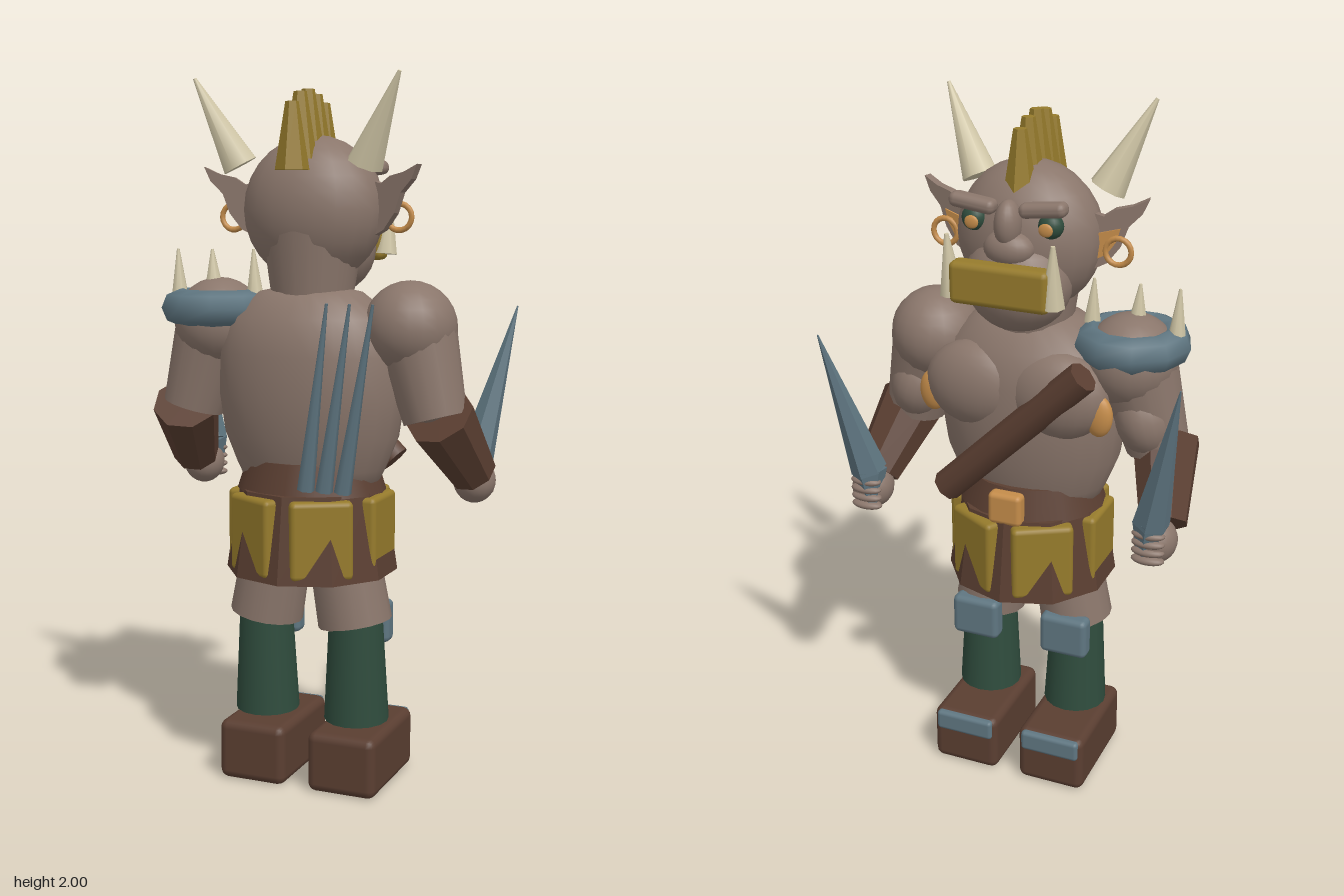
import * as THREE from 'three';
import { RoundedBoxGeometry } from 'three/addons/geometries/RoundedBoxGeometry.js';

const mat = (name, color) => { const m = new THREE.MeshStandardMaterial({ color }); m.name = name; return m; };

export function createModel() {
  const skin = mat('skin', 0x8a766b), gold = mat('gold', 0x967b2c), steel = mat('steel', 0x5f7681);
  const leather = mat('leather', 0x5a3e31), green = mat('green cloth', 0x2f4c3d);
  const bone = mat('bone', 0xd0c6a6), amber = mat('amber', 0xc48c4a);
  const model = new THREE.Group();
  model.name = 'hornedWarrior';
  const V = (a) => new THREE.Vector3(...a);

  function add(name, geo, material, pos = [0, 0, 0], rot = [0, 0, 0]) {
    const m = new THREE.Mesh(geo, material);
    m.name = name;
    m.position.set(...pos);
    m.rotation.set(...rot);
    model.add(m);
    return m;
  }
  const faceted = (g) => { const f = g.toNonIndexed(); f.computeVertexNormals(); return f; };
  const ball = (name, material, pos, r, rot) =>
    add(name, new THREE.SphereGeometry(1, 20, 14).scale(...r), material, pos, rot);
  const box = (name, material, pos, size, radius = 0.015, rot) =>
    add(name, new RoundedBoxGeometry(...size, 2, radius), material, pos, rot);
  // tapered bar between two points
  function rod(name, material, a, b, ra, rb, sides = 8, flat = false) {
    const from = V(a), dir = V(b).sub(from);
    let g = new THREE.CylinderGeometry(rb, ra, dir.length(), sides);
    if (flat) g = faceted(g);
    const m = add(name, g, material);
    m.quaternion.setFromUnitVectors(new THREE.Vector3(0, 1, 0), dir.clone().normalize());
    m.position.copy(from).addScaledVector(dir, 0.5);
    return m;
  }

  // torso, neck and head (the face looks along -z)
  const profile = [[0.001, 0.86], [0.19, 0.87], [0.22, 0.93], [0.257, 1.02], [0.273, 1.13], [0.272, 1.25],
    [0.24, 1.35], [0.15, 1.42], [0.001, 1.45]].map((p) => new THREE.Vector2(...p));
  add('torso', new THREE.LatheGeometry(profile, 24).scale(1, 1, 0.68), skin, [0, 0, 0.025]);
  rod('neck', skin, [0, 1.34, 0.02], [0, 1.58, 0.01], 0.105, 0.142, 20);
  ball('head', skin, [0, 1.645, 0.005], [0.203, 0.205, 0.154]);
  ball('jaw', skin, [0, 1.54, -0.077], [0.148, 0.138, 0.125]);
  ball('muzzle', skin, [0, 1.645, -0.14], [0.07, 0.05, 0.05]);
  ball('noseBridge', skin, [0, 1.71, -0.145], [0.036, 0.065, 0.047]);
  box('mouthGuard', gold, [0, 1.56, -0.195], [0.28, 0.115, 0.06], 0.018);

  // crest of blunt spikes
  [1.94, 1.96, 1.97, 1.96, 1.93].forEach((top, i) => {
    const z = -0.065 + i * 0.055;
    rod('crestSpike', gold, [0, top - 0.18, z], [0, top, z], 0.047, 0.018, 6, true);
  });

  for (const s of [-1, 1]) {
    // face
    ball('eye', green, [s * 0.108, 1.71, -0.118], [0.034, 0.034, 0.03]);
    ball('iris', amber, [s * 0.104, 1.705, -0.146], [0.02, 0.018, 0.007]);
    box('brow', skin, [s * 0.098, 1.758, -0.145], [0.13, 0.04, 0.05], 0.018, [0, 0, s * 0.12]);
    rod('tusk', bone, [s * 0.142, 1.52, -0.19], [s * 0.148, 1.685, -0.205], 0.034, 0.006, 8);
    rod('horn', bone, [s * 0.185, 1.765, 0.09], [s * 0.298, 2.0, 0.14], 0.052, 0.005, 8);

    // ear, inner ear and earring
    const leaf = (pts, depth) => {
      const shape = new THREE.Shape(pts.map(([x, y]) => new THREE.Vector2(s * (x - 0.18), y)));
      return new THREE.ExtrudeGeometry(shape, { depth, bevelEnabled: false });
    };
    const lean = [0, -s * 0.25, 0];
    add('ear', leaf([[0.16, 1.56], [0.22, 1.59], [0.255, 1.635], [0.275, 1.69], [0.31, 1.725],
      [0.328, 1.765], [0.285, 1.745], [0.24, 1.735], [0.21, 1.715], [0.16, 1.73]], 0.024),
      skin, [s * 0.18, 0, -0.008], lean);
    add('innerEar', leaf([[0.19, 1.6], [0.22, 1.615], [0.245, 1.65], [0.255, 1.685], [0.19, 1.67]], 0.006),
      amber, [s * 0.18, 0, -0.013], lean);
    add('earring', new THREE.TorusGeometry(0.036, 0.008, 8, 18), amber, [s * 0.25, 1.625, 0]);

    // chest and arm
    ball('chest', skin, [s * 0.118, 1.235, -0.095], [0.15, 0.125, 0.082]);
    ball('chestPlate', amber, [s * 0.245, 1.2, -0.11], [0.04, 0.06, 0.025]);
    ball('shoulder', skin, [s * 0.29, 1.325, 0.015], [0.13, 0.13, 0.135]);
    rod('upperArm', skin, [s * 0.31, 1.3, 0.015], [s * 0.37, 1.08, 0.03], 0.112, 0.088, 16);
    ball('biceps', skin, [s * 0.34, 1.17, 0.01], [0.085, 0.11, 0.105], [0, 0, s * 0.25]);
    rod('bracer', leather, [s * 0.388, 1.09, 0.045], [s * 0.437, 0.915, -0.11], 0.097, 0.068, 8, true);
    ball('hand', skin, [s * 0.43, 0.885, -0.15], [0.06, 0.064, 0.065]);
    for (let i = 0; i < 4; i++)
      ball('finger', skin, [s * 0.425, 0.848 + i * 0.025, -0.2], [0.047, 0.014, 0.024]);

    // dagger
    rod('daggerBlade', steel, [s * 0.425, 0.95, -0.18], [s * 0.515, 1.375, -0.265], 0.052, 0.002, 6, true);
    rod('daggerGrip', steel, [s * 0.413, 0.85, -0.19], [s * 0.425, 0.95, -0.18], 0.022, 0.052, 6, true);

    // leg and boot
    rod('thigh', skin, [s * 0.138, 0.485, 0.03], [s * 0.1, 0.7, 0.03], 0.106, 0.1, 16);
    rod('shin', green, [s * 0.14, 0.2, 0.022], [s * 0.14, 0.51, 0.03], 0.093, 0.076, 16);
    box('kneePad', steel, [s * 0.14, 0.47, -0.068], [0.145, 0.125, 0.057], 0.018);
    box('boot', leather, [s * 0.138, 0.093, -0.017], [0.205, 0.175, 0.335], 0.025);
    box('toePlate', steel, [s * 0.138, 0.145, -0.175], [0.18, 0.062, 0.034], 0.012);
  }

  // chest strap, belt and buckle
  rod('strap', leather, [0.19, 0.93, -0.155], [-0.22, 1.33, -0.165], 0.045, 0.045, 8);
  add('belt', new THREE.CylinderGeometry(0.185, 0.215, 0.09, 16).scale(1, 1, 0.9), leather, [0, 0.908, 0.02]);
  box('buckle', amber, [0, 0.905, -0.17], [0.1, 0.095, 0.045], 0.015);

  // flared skirt whose corners break through the hanging plates
  add('skirt', faceted(new THREE.CylinderGeometry(0.21, 0.245, 0.24, 10)), leather, [0, 0.75, 0.02]);
  for (let i = 0; i < 6; i++) {
    const a = Math.PI / 6 + (i * Math.PI) / 3;
    box('skirtPlate', gold, [Math.sin(a) * 0.2, 0.75, 0.02 + Math.cos(a) * 0.2],
      [0.175, 0.22, 0.05], 0.015, [0, a, 0]);
  }

  // spiked pad on the right shoulder
  add('shoulderPad', new THREE.TorusGeometry(0.112, 0.052, 8, 10).rotateX(Math.PI / 2), steel, [-0.287, 1.37, 0.03]);
  [[-0.41, 1.38], [-0.3, 1.42], [-0.17, 1.39]].forEach(([x, y]) =>
    rod('padSpike', bone, [x, y, 0.03], [x - 0.005, 1.535, 0.03], 0.028, 0.004, 8));

  // long spikes carried on the back
  for (let i = 0; i < 3; i++)
    rod('backSpike', steel, [0.06 + i * 0.054, 0.89, 0.205], [0.135 + i * 0.065, 1.4, 0.24], 0.024, 0.004, 6);

  return model;
}
